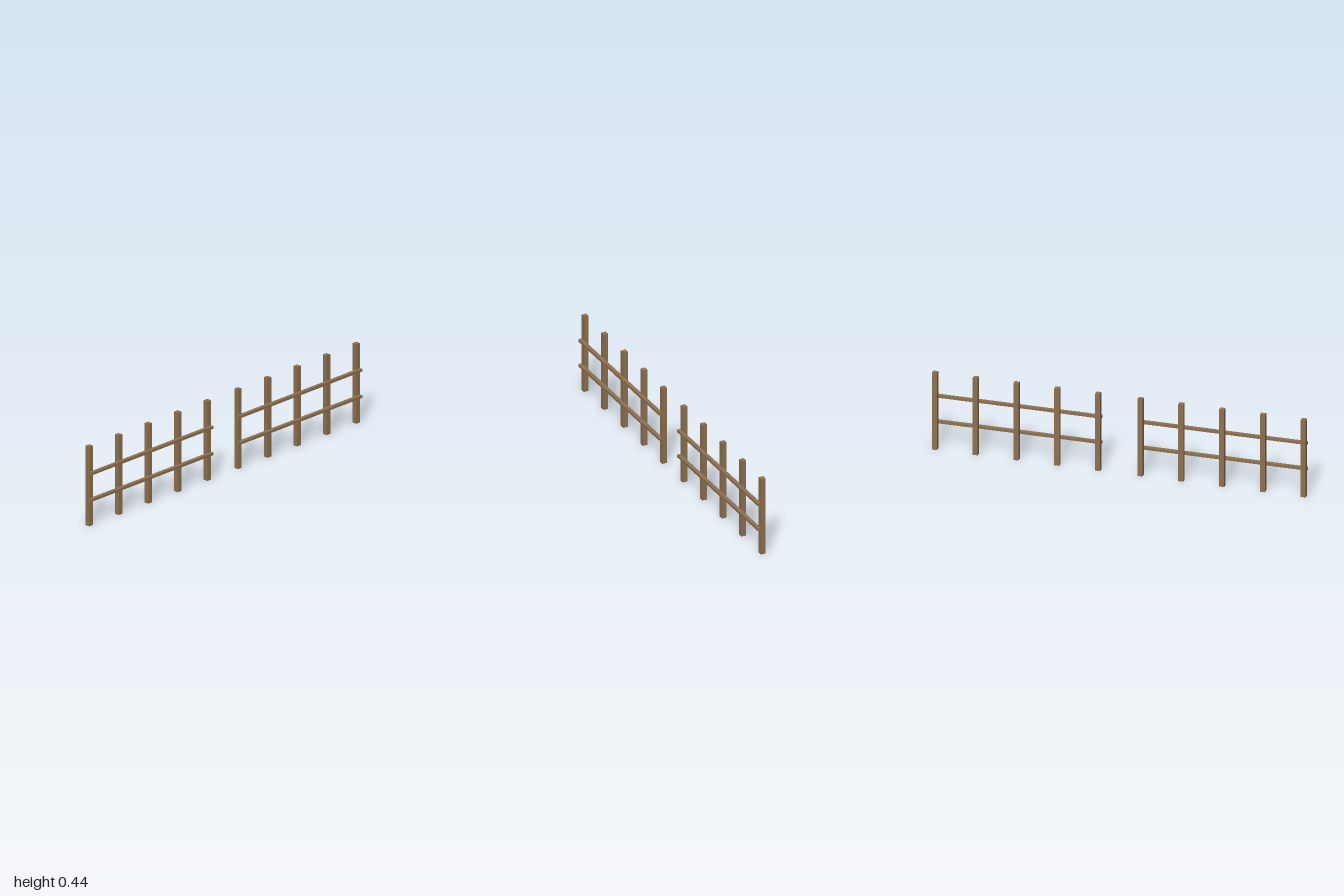
import * as THREE from 'three';

const wood = new THREE.MeshStandardMaterial({ color: 0x8f7150 });
wood.name = 'weathered wood';

const LENGTH = 0.9;      // one fence section
const POST = 0.027;      // square post thickness
const HEIGHT = 0.439;
const POSTS = 5;

// Box placed by its centre
function beam(name, size, position) {
  const mesh = new THREE.Mesh(new THREE.BoxGeometry(...size), wood);
  mesh.name = name;
  mesh.position.set(...position);
  return mesh;
}

// Five upright posts with two rails fixed across their front
function fenceSection(name) {
  const section = new THREE.Group();
  section.name = name;
  const span = LENGTH - POST;
  for (let i = 0; i < POSTS; i++) {
    const x = -span / 2 + (span * i) / (POSTS - 1);
    section.add(beam('post', [POST, HEIGHT, POST], [x, HEIGHT / 2, -0.0085]));
  }
  section.add(beam('lowerRail', [LENGTH, 0.014, 0.02], [0, 0.148, 0.014]));
  section.add(beam('upperRail', [LENGTH, 0.014, 0.02], [0, 0.294, 0.014]));
  return section;
}

export function createModel() {
  const model = new THREE.Group();
  model.name = 'fence';
  // Two sections with a gateway gap between them
  for (const side of [-1, 1]) {
    const section = fenceSection(side < 0 ? 'rightSection' : 'leftSection');
    section.position.x = side * (1 - LENGTH / 2);
    model.add(section);
  }
  return model;
}
